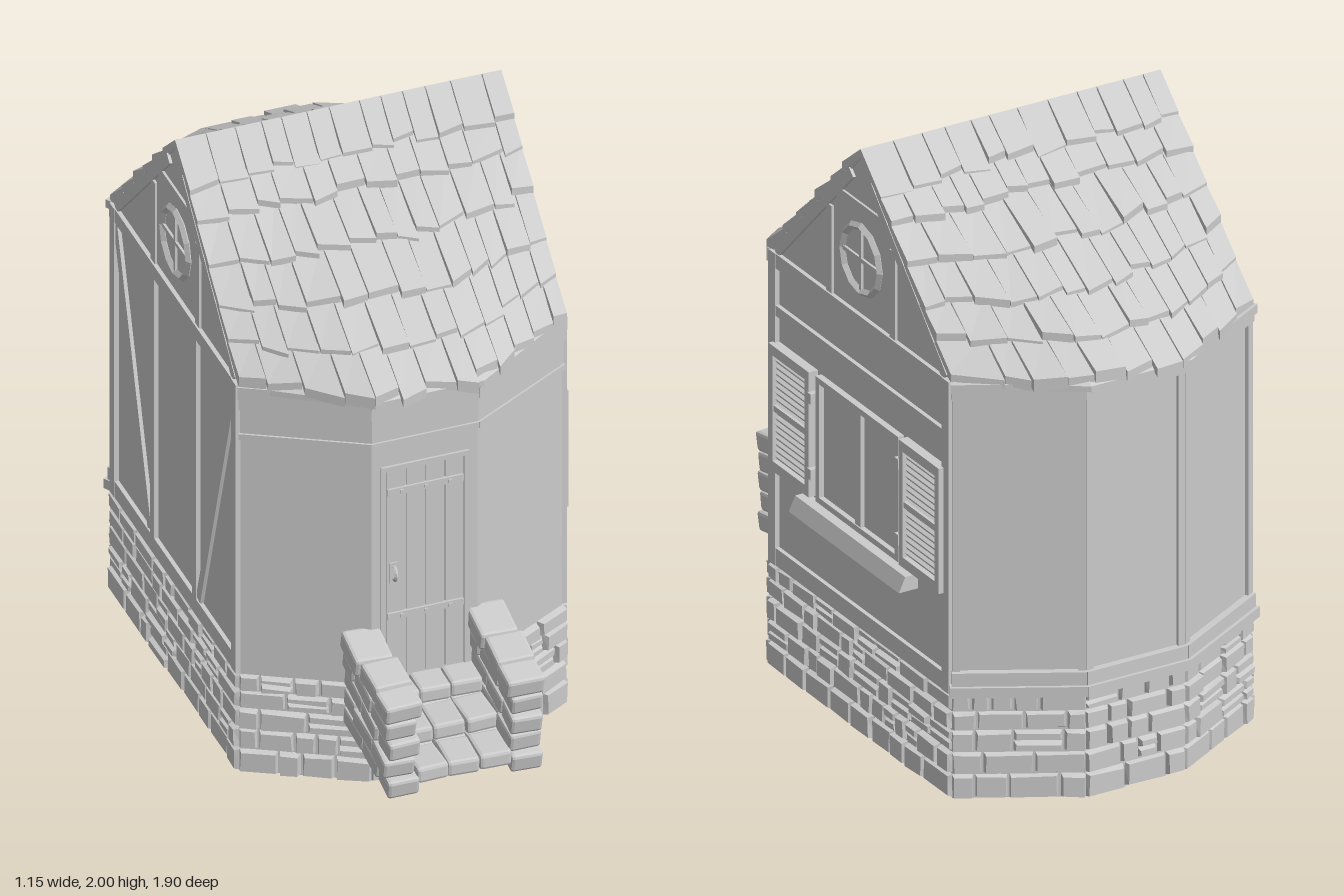
import * as THREE from 'three';
import { mergeGeometries } from 'three/addons/utils/BufferGeometryUtils.js';
import { RoundedBoxGeometry } from 'three/addons/geometries/RoundedBoxGeometry.js';

const grey = new THREE.MeshStandardMaterial({ color: 0xcccccc, flatShading: true });
const greyDouble = new THREE.MeshStandardMaterial({ color: 0xcccccc, flatShading: true, side: THREE.DoubleSide });

// Footprint corners (x, z), starting with the front face and going round past +x
const PLAN = [[-0.175, 0.6], [0.175, 0.6], [0.53, 0.4], [0.53, -0.68],
  [0.175, -0.88], [-0.175, -0.88], [-0.53, -0.68], [-0.53, 0.4]];
const MID_Z = -0.14, EAVE = 1.43;

let seed = 7;
const rand = (a, b) => {
  seed = (seed * 16807) % 2147483647;
  return a + (b - a) * seed / 2147483647;
};

function add(parent, name, geometry, material = grey) {
  const m = new THREE.Mesh(geometry, material);
  m.name = name;
  parent.add(m);
  return m;
}

// Box lying on the local wall plane: centre x, y and a depth d outwards from z
function plank(parent, name, x, y, w, h, d, z = 0, turn = 0) {
  const m = add(parent, name, new THREE.BoxGeometry(w, h, d + 0.01));
  m.position.set(x, y, z + d / 2 - 0.005);
  m.rotation.z = turn;
  return m;
}

// Six-sided block from 8 corners: inner four, then outer four, counter-clockwise from outside
function block(c) {
  const quads = [[4, 5, 6, 7], [3, 2, 1, 0], [0, 1, 5, 4], [1, 2, 6, 5], [2, 3, 7, 6], [3, 0, 4, 7]];
  const pos = [];
  for (const [a, b, d, e] of quads) for (const i of [a, b, d, a, d, e]) pos.push(...c[i]);
  const g = new THREE.BufferGeometry();
  g.setAttribute('position', new THREE.Float32BufferAttribute(pos, 3));
  g.computeVertexNormals();
  return g;
}

// Hollow wall following the footprint
function wallRing(y0, y1) {
  const pts = k => PLAN.map(([x, z]) => new THREE.Vector2(x * k, -(MID_Z + (z - MID_Z) * k)));
  const s = new THREE.Shape(pts(1));
  s.holes.push(new THREE.Path(pts(0.96)));
  return new THREE.ExtrudeGeometry(s, { depth: y1 - y0, bevelEnabled: false })
    .rotateX(-Math.PI / 2).translate(0, y0, 0);
}

// Group on one footprint edge: local x along the wall, local z outwards
function wallSide(root, i, name) {
  const [ax, az] = PLAN[i], [bx, bz] = PLAN[(i + 1) % 8];
  const g = new THREE.Group();
  g.name = name;
  g.position.set((ax + bx) / 2, 0, (az + bz) / 2);
  g.rotation.y = Math.atan2(az - bz, bx - ax);
  g.userData.len = Math.hypot(bx - ax, bz - az);
  root.add(g);
  return g;
}

// Irregular masonry on one wall side
function masonry(side) {
  const L = side.userData.len / 2 + 0.007, stones = [];
  const stone = (x0, x1, y0, y1) => {
    const d = rand(0.013, 0.024), e = 0.007, j = () => rand(-0.003, 0.003);
    const q = [[x0, y0], [x1, y0], [x1, y1], [x0, y1]];
    const f = [[1, 1], [-1, 1], [-1, -1], [1, -1]];
    stones.push(block([...q.map(([x, y]) => [x, y, -0.005]),
      ...q.map(([x, y], k) => [x + f[k][0] * e + j(), y + f[k][1] * e + j(), d])]));
  };
  const rows = [0, 0.085, 0.16, 0.235, 0.3, 0.36];
  for (let r = 0; r < 5; r++) {
    for (let x = -L; x < L - 0.001;) {
      let x1 = x + rand(0.06, 0.16);
      if (L - x1 < 0.05) x1 = L;
      const y0 = rows[r] + 0.002, y1 = rows[r + 1] - 0.002, pick = rand(0, 1);
      if (pick < 0.2) {
        const m = (y0 + y1) / 2;
        stone(x + 0.002, x1 - 0.002, y0, m - 0.001);
        stone(x + 0.002, x1 - 0.002, m + 0.001, y1);
      } else stone(x + 0.002, x1 - 0.002, y0, y1);
      x = x1;
    }
  }
  add(side, 'baseStones', mergeGeometries(stones));
}

// Roof surface: straight gable at the ends, bulging over the angled front and back
function roofPoint(x, v, s, lift = 0) {
  const bulge = Math.min(1, Math.max(0, (0.545 - Math.abs(x)) / 0.36));
  const f = Math.pow(Math.max(0, (v - 0.3) / 0.7), 0.85);
  return [x, 2 - 0.57 * v + lift, MID_Z + s * (0.55 * v + 0.25 * bulge * f)];
}

function buildRoof(root) {
  const tiles = [], deck = [], W = 0.54;
  const rows = [0, 0.2, 0.33, 0.5, 0.67, 0.83, 0.985];
  for (const s of [1, -1]) {
    for (let r = 0; r < 6; r++) {
      for (let x = -W; x < W - 0.001;) {
        let x1 = x + rand(0.065, 0.11);
        if (W - x1 < 0.05) x1 = W;
        const v0 = Math.max(0, rows[r] - 0.03), v1 = rows[r + 1] + rand(-0.012, 0.025);
        const tilt = rand(-0.012, 0.012), up = rand(0.012, 0.03);
        const a = s > 0 ? x + 0.002 : x1 - 0.002, b = s > 0 ? x1 - 0.002 : x + 0.002;
        const q = (low, high) => [roofPoint(a, v1 + tilt, s, low), roofPoint(b, v1 - tilt, s, low),
          roofPoint(b, v0, s, high), roofPoint(a, v0, s, high)];
        tiles.push(block([...q(-0.016, -0.025), ...q(up, 0)]));
        x = x1;
      }
    }
    // Closed deck under the tiles
    const xs = [-0.535, -0.36, -0.18, 0.18, 0.36, 0.535];
    for (let k = 0; k < 5; k++) for (let r = 0; r < 6; r++) {
      const a = s > 0 ? xs[k] : xs[k + 1], b = s > 0 ? xs[k + 1] : xs[k];
      const q = h => [roofPoint(a, rows[r + 1], s, h), roofPoint(b, rows[r + 1], s, h),
        roofPoint(b, rows[r], s, h), roofPoint(a, rows[r], s, h)];
      deck.push(block([...q(-0.03), ...q(-0.01)]));
    }
  }
  add(root, 'roofTiles', mergeGeometries(tiles));
  add(root, 'roofDeck', mergeGeometries(deck), greyDouble);
}

// Gable with round window, posts and sloping boards
function buildGable(side) {
  const tri = new THREE.Shape([[-0.54, EAVE], [0.54, EAVE], [0, 1.985]].map(p => new THREE.Vector2(...p)));
  add(side, 'gableWall', new THREE.ExtrudeGeometry(tri, { depth: 0.03, bevelEnabled: false })).position.z = -0.03;
  for (const s of [-1, 1]) {
    plank(side, 'gablePost', s * 0.19, 1.58, 0.035, 0.3, 0.008);
    plank(side, 'vergeBoard', s * 0.28, 1.665, 0.65, 0.035, 0.01, 0, -s * 0.8);
  }
  plank(side, 'collarBeam', 0, 1.795, 0.3, 0.035, 0.008);
  const frame = new THREE.TorusGeometry(0.112, 0.013, 4, 12);
  add(side, 'roundWindowFrame', frame).position.set(0, 1.62, 0.004);
  const pane = new THREE.CircleGeometry(0.11, 12);
  add(side, 'roundWindowPane', pane).position.set(0, 1.62, 0.002);
  plank(side, 'roundWindowBar', 0, 1.62, 0.014, 0.22, 0.01);
  plank(side, 'roundWindowBar', 0, 1.62, 0.22, 0.014, 0.01);
}

function buildWindow(side) {
  plank(side, 'windowPane', 0, 0.905, 0.46, 0.4, 0.004);
  for (const s of [-1, 1]) {
    plank(side, 'windowJamb', s * 0.237, 0.905, 0.02, 0.43, 0.022);
    plank(side, 'windowRail', 0, 0.905 + s * 0.205, 0.48, 0.02, 0.022);
    // Louvred shutter
    const x = s * 0.39;
    for (const e of [-1, 1]) {
      plank(side, 'shutterStile', x + e * 0.108, 0.91, 0.025, 0.43, 0.033);
      plank(side, 'shutterRail', x, 0.91 + e * 0.198, 0.2, 0.034, 0.033);
      plank(side, 'hinge', s * 0.262, 0.91 + e * 0.13, 0.022, 0.035, 0.037);
    }
    plank(side, 'shutterMiddleRail', x, 0.91, 0.2, 0.02, 0.03);
    for (let k = 0; k < 16; k++)
      plank(side, 'louvre', x, 0.745 + k * 0.022, 0.2, 0.012, 0.022).rotation.x = 0.5;
  }
  plank(side, 'windowMullion', 0, 0.905, 0.035, 0.4, 0.018);
  const sill = (z0, z1) => [[-0.33, 0.63, z1], [0.33, 0.63, z1], [0.33, 0.68, z0], [-0.33, 0.68, z0]];
  add(side, 'windowSill', block([...sill(-0.01, -0.01), ...sill(0.045, 0.068)]));
}

function buildDoor(front) {
  for (const s of [-1, 1]) plank(front, 'doorJamb', s * 0.137, 0.76, 0.018, 0.78, 0.008);
  plank(front, 'doorLintel', 0, 1.145, 0.29, 0.018, 0.008);
  for (let k = 0; k < 4; k++) plank(front, 'doorPlank', -0.096 + k * 0.064, 0.755, 0.059, 0.76, 0.005);
  for (const y of [0.6, 1.06]) {
    plank(front, 'doorStrap', 0, y, 0.25, 0.024, 0.012);
    for (const x of [-0.08, 0, 0.08]) plank(front, 'doorStud', x, y, 0.012, 0.012, 0.017);
  }
  plank(front, 'handlePlate', -0.105, 0.76, 0.026, 0.075, 0.01);
  const grip = new THREE.TorusGeometry(0.024, 0.006, 5, 8, Math.PI).rotateZ(-Math.PI / 2).rotateY(-Math.PI / 2);
  add(front, 'doorHandle', grip).position.set(-0.105, 0.76, 0.008);
}

// Stone steps between two sloping stacked-stone cheeks
function buildSteps(root) {
  const steps = new THREE.Group();
  steps.name = 'frontSteps';
  root.add(steps);
  const rock = (name, x, y, z, w, h, d, tilt) => {
    const m = add(steps, name, new RoundedBoxGeometry(w, h, d, 1, 0.011));
    m.position.set(x, y, z);
    m.rotation.set(tilt + rand(-0.03, 0.03), rand(-0.05, 0.05), rand(-0.03, 0.03));
  };
  for (const s of [-1, 1]) for (let r = 0; r < 5; r++) {
    const cuts = r % 2 ? [0.57, 0.66, 0.81, 0.94] : [0.57, 0.72, 0.85, 0.95];
    for (let k = 0; k < 3; k++) {
      const z = (cuts[k] + cuts[k + 1]) / 2, w = r === 4 ? 0.125 : 0.105;
      rock('cheekStone', s * 0.205 + rand(-0.006, 0.006), 0.225 + r * 0.069 - (z - 0.75) * 0.16,
        z, w, 0.066, cuts[k + 1] - cuts[k] - 0.002, 0.17);
    }
  }
  for (let k = 0; k < 3; k++) {
    const top = 0.25 + k * 0.057, front = 0.94 - k * 0.125;
    plank(steps, 'stepCore', 0, (0.19 + top - 0.02) / 2, 0.32, top - 0.21, front - 0.61, 0.59);
    for (let r = 0; r <= k; r++) for (let i = 0; i < 3; i++)
      rock('stepStone', (i - 1) * 0.105, top - 0.025 - r * 0.057, front - 0.06, 0.105, 0.055, 0.135, 0);
  }
}

export function createModel() {
  const root = new THREE.Group();
  root.name = 'cottage';
  root.position.x = -0.025;
  add(root, 'wallShell', wallRing(0, EAVE), greyDouble);
  const names = ['frontWall', 'frontLeftWall', 'leftWall', 'backLeftWall', 'backWall', 'backRightWall', 'rightWall', 'frontRightWall'];
  const sides = names.map((n, i) => wallSide(root, i, n));
  sides.forEach((side, i) => {
    const L = side.userData.len;
    masonry(side);
    if (i === 2 || i === 6) {
      // Timber framing and gable of the long sides
      buildGable(side);
      for (const s of [-1, 1]) plank(side, 'cornerPost', s * (L / 2 - 0.02), 0.895, 0.04, 1.07, 0.016);
      for (const [y, h] of [[0.39, 0.06], [1.405, 0.05]]) plank(side, 'sideRail', 0, y, L, h, 0.014);
    } else if (i > 2 && i < 6) {
      // Back panels: stepped sill, cornice and slim posts
      plank(side, 'backSill', 0, 0.375, L + 0.02, 0.035, 0.035);
      plank(side, 'backSillStep', 0, 0.415, L + 0.01, 0.045, 0.024);
      plank(side, 'backCornice', 0, 1.385, L + 0.01, 0.03, 0.018);
      plank(side, 'backCorniceTop', 0, 1.415, L + 0.016, 0.03, 0.028);
      for (const s of [-1, 1]) plank(side, 'backPost', s * (L / 2 - 0.01), 0.9, 0.024, 0.94, 0.012);
    } else {
      // Stepped frieze across the front
      plank(side, 'friezeBand', 0, 1.242, L + 0.008, 0.022, 0.012);
      plank(side, 'friezeBand', 0, 1.297, L + 0.003, 0.088, 0.005);
      plank(side, 'friezeBand', 0, 1.362, L + 0.008, 0.042, 0.012);
      plank(side, 'friezeBand', 0, 1.407, L + 0.012, 0.044, 0.018);
    }
  });
  plank(sides[2], 'middleRail', 0, 1.235, 1.08, 0.035, 0.014);
  buildWindow(sides[2]);
  // Posts and diagonal braces of the plain long side
  for (const s of [-1, 1]) {
    plank(sides[6], 'innerPost', s * 0.18, 0.9, 0.035, 0.98, 0.014);
    plank(sides[6], 'brace', s * 0.355, 0.9, 0.035, 0.99, 0.012, 0, -s * 0.3);
  }
  buildDoor(sides[0]);
  buildSteps(root);
  buildRoof(root);
  return root;
}
